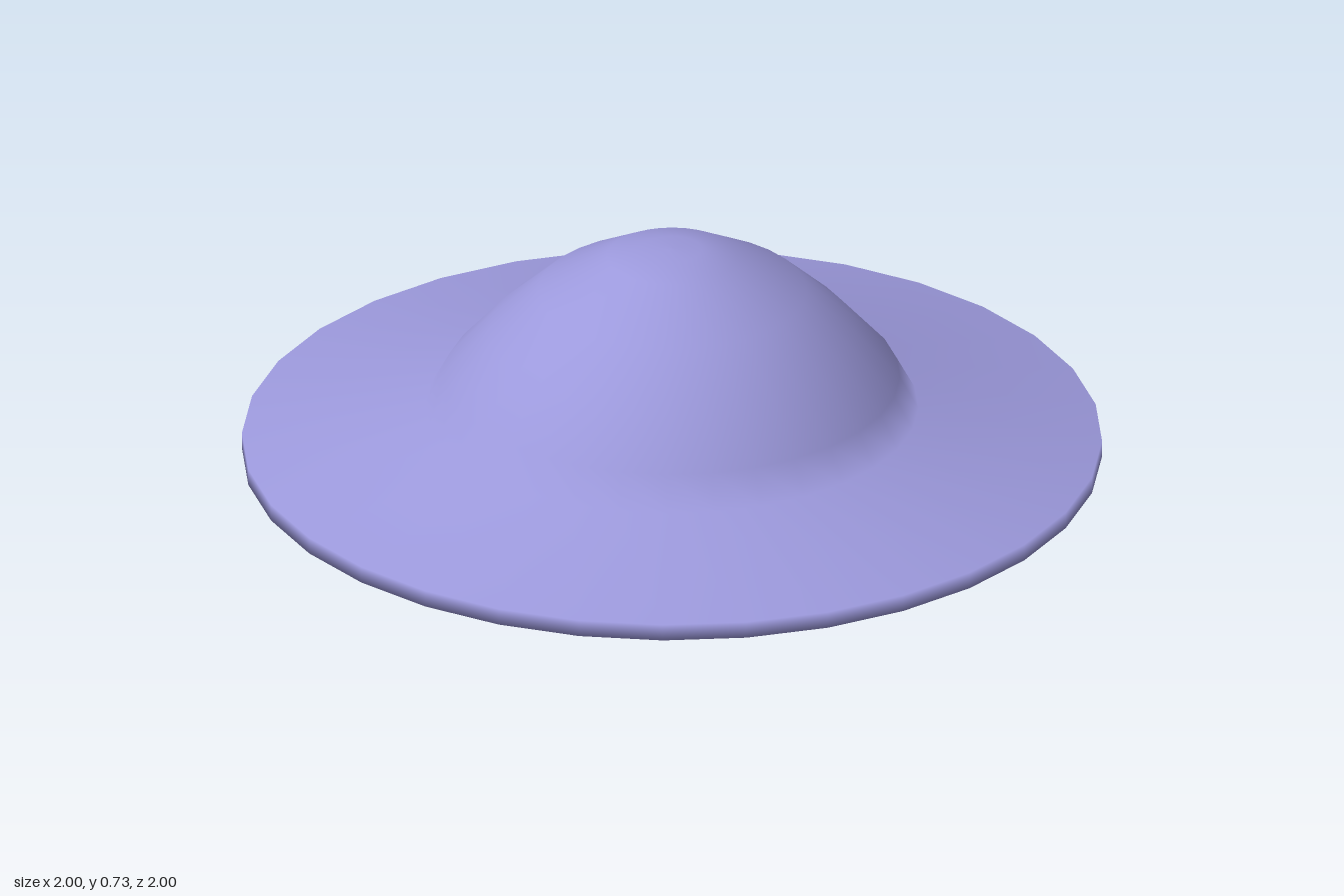
import * as THREE from 'three';

const SIDES = 32;

// Outer profile (radius, height) from the base up to the crown
const PROFILE = [
  [0.51, 0], [0.65, 0.09], [0.73, 0.2], // hull
  [1, 0.2], [1, 0.24], [0.573, 0.32], // brim
  [0.53, 0.4], [0.425, 0.517], [0.313, 0.618], [0.152, 0.707], [0.07, 0.725], [0, 0.727], // dome
].map(([r, y]) => new THREE.Vector2(r, y));

export function createModel() {
  const group = new THREE.Group();
  group.name = 'flyingSaucer';
  const material = new THREE.MeshStandardMaterial({ color: 0x9c99dc });

  // Keep one band of the full lathe, so normals stay smooth across the joints
  function addBand(name, first, last) {
    const geometry = new THREE.LatheGeometry(PROFILE, SIDES);
    const rows = PROFILE.length - 1;
    const index = Array.from(geometry.index.array).filter((_, k) => {
      const row = Math.floor(k / 6) % rows;
      return row >= first && row < last;
    });
    geometry.setIndex(index);
    const mesh = new THREE.Mesh(geometry, material);
    mesh.name = name;
    group.add(mesh);
  }

  addBand('hull', 0, 2);
  addBand('brim', 2, 5);
  addBand('dome', 5, PROFILE.length - 1);

  // Flat underside with a sharp edge
  const base = new THREE.Mesh(new THREE.CircleGeometry(PROFILE[0].x, SIDES), material);
  base.name = 'basePlate';
  base.rotation.x = Math.PI / 2;
  group.add(base);

  return group;
}
